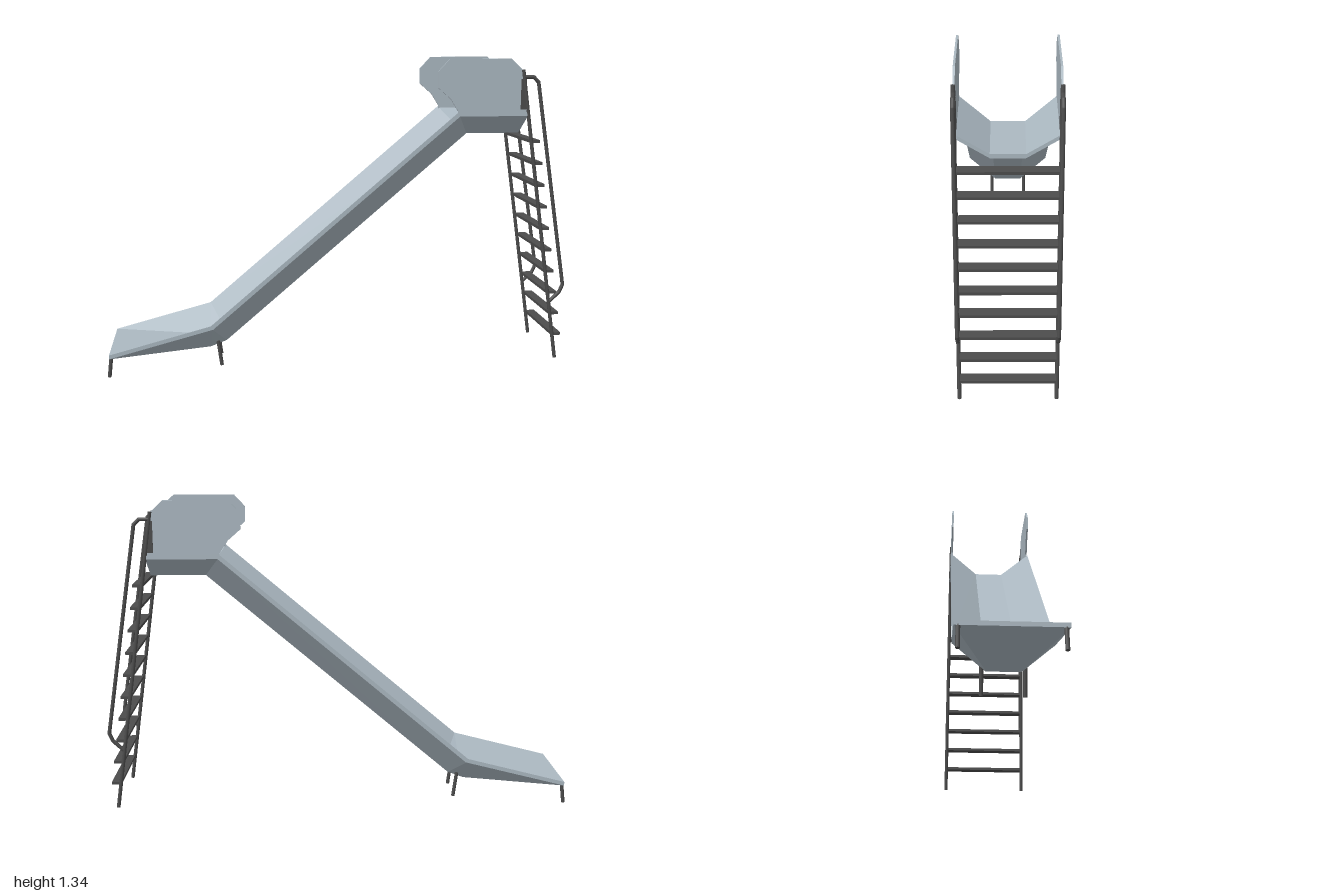
import * as THREE from 'three';

const steel = new THREE.MeshStandardMaterial({ color: 0xabb8c1 });
steel.name = 'slide steel';
const iron = new THREE.MeshStandardMaterial({ color: 0x4c4c4c });
iron.name = 'dark iron';

function add(parent, name, geometry, material) {
  const mesh = new THREE.Mesh(geometry, material);
  mesh.name = name;
  parent.add(mesh);
  return mesh;
}

// Round bar running through a list of points, with ball joints at the bends
function bar(parent, name, points, r = 0.008) {
  const group = new THREE.Group();
  group.name = name;
  const pts = points.map((p) => new THREE.Vector3(...p));
  for (let i = 0; i < pts.length - 1; i++) {
    const dir = pts[i + 1].clone().sub(pts[i]);
    const rod = add(group, name + 'Rod', new THREE.CylinderGeometry(r, r, dir.length(), 12), iron);
    rod.position.copy(pts[i]).addScaledVector(dir, 0.5);
    rod.quaternion.setFromUnitVectors(new THREE.Vector3(0, 1, 0), dir.normalize());
    if (i > 0) add(group, name + 'Joint', new THREE.SphereGeometry(r, 12, 8), iron).position.copy(pts[i]);
  }
  parent.add(group);
}

// Sheet-metal trough: each station gives rim x, y and floor x, y, half width, underside shift
function troughGeometry() {
  const W = 0.195;
  const stations = [
    [-0.99, 0.099, -0.99, 0.099, W, 0],
    [-0.56, 0.211, -0.565, 0.098, 0.065, 0.004],
    [-0.56, 0.211, -0.5, 0.124, 0.065, 0.008],
    [0.5, 1.11, 0.562, 1.026, 0.065, 0.008],
    [0.805, 1.11, 0.805, 1.026, 0.065, 0],
  ];
  const section = ([rx, ry, fx, fy, fz, dx], under) => {
    const sx = under ? dx : 0, sy = under ? -0.017 : 0;
    return [[rx, ry, -W], [fx, fy, -fz], [fx, fy, fz], [rx, ry, W]]
      .map(([x, y, z]) => new THREE.Vector3(x + sx, y + sy, z));
  };
  const top = stations.map((s) => section(s, false));
  const low = stations.map((s) => section(s, true));
  const pos = [];
  const tri = (a, b, c) => {
    if (new THREE.Triangle(a, b, c).getArea() > 1e-7) for (const p of [a, b, c]) pos.push(p.x, p.y, p.z);
  };
  const quad = (a, b, c, d) => { tri(a, b, c); tri(a, c, d); };
  const last = stations.length - 1;
  for (let s = 0; s < last; s++) {
    for (let j = 0; j < 3; j++) {
      quad(top[s][j], top[s][j + 1], top[s + 1][j + 1], top[s + 1][j]);
      quad(low[s + 1][j], low[s + 1][j + 1], low[s][j + 1], low[s][j]);
    }
    // rims
    quad(top[s][3], low[s][3], low[s + 1][3], top[s + 1][3]);
    quad(top[s + 1][0], low[s + 1][0], low[s][0], top[s][0]);
  }
  // end edges
  for (let j = 0; j < 3; j++) {
    quad(top[last][j + 1], low[last][j + 1], low[last][j], top[last][j]);
    quad(top[0][j], low[0][j], low[0][j + 1], top[0][j + 1]);
  }
  const g = new THREE.BufferGeometry();
  g.setAttribute('position', new THREE.Float32BufferAttribute(pos, 3));
  g.computeVertexNormals();
  return g;
}

export function createModel() {
  const model = new THREE.Group();
  model.name = 'playgroundSlide';

  add(model, 'slideTrough', troughGeometry(), steel);

  // Side guard outline
  const guard = new THREE.Shape([
    [0.5, 1.1], [0.805, 1.1], [0.778, 1.288], [0.727, 1.335], [0.46, 1.335],
    [0.412, 1.283], [0.412, 1.215], [0.468, 1.166], [0.5, 1.115],
  ].map(([x, y]) => new THREE.Vector2(x, y)));
  const guardGeometry = new THREE.ExtrudeGeometry(guard, { depth: 0.008, bevelEnabled: false });
  guardGeometry.translate(0, 0, -0.004);

  const ladder = new THREE.Group();
  ladder.name = 'ladder';
  model.add(ladder);

  for (const side of [1, -1]) {
    const z = side * 0.19;
    add(model, 'sideGuard', guardGeometry, steel).position.z = side * 0.188;

    // Bracket joining guard to ladder
    add(model, 'guardBracket', new THREE.BoxGeometry(0.024, 0.13, 0.012), iron)
      .position.set(0.784, 1.185, side * 0.188);

    bar(ladder, 'ladderRail', [[0.78, 1.289, z], [0.966, 0.01, z]]);
    bar(ladder, 'handrail', [
      [0.786, 1.258, z], [0.826, 1.258, z], [0.848, 1.236, z],
      [0.99, 0.345, z], [0.976, 0.312, z], [0.93, 0.268, z],
    ]);

    // Supports under the exit
    bar(model, 'exitLeg', [[-0.982, 0.088, side * 0.18], [-0.992, 0, side * 0.18]]);
    bar(model, 'middleLeg', [[-0.53, 0.113, side * 0.082], [-0.515, 0, side * 0.082]]);
  }

  // Ladder treads
  for (let i = 0; i < 10; i++) {
    const y = 0.117 + i * 0.0961;
    add(ladder, 'tread', new THREE.BoxGeometry(0.042, 0.012, 0.37), iron)
      .position.set(0.987 - 0.1454 * y, y, 0);
  }
  return model;
}
